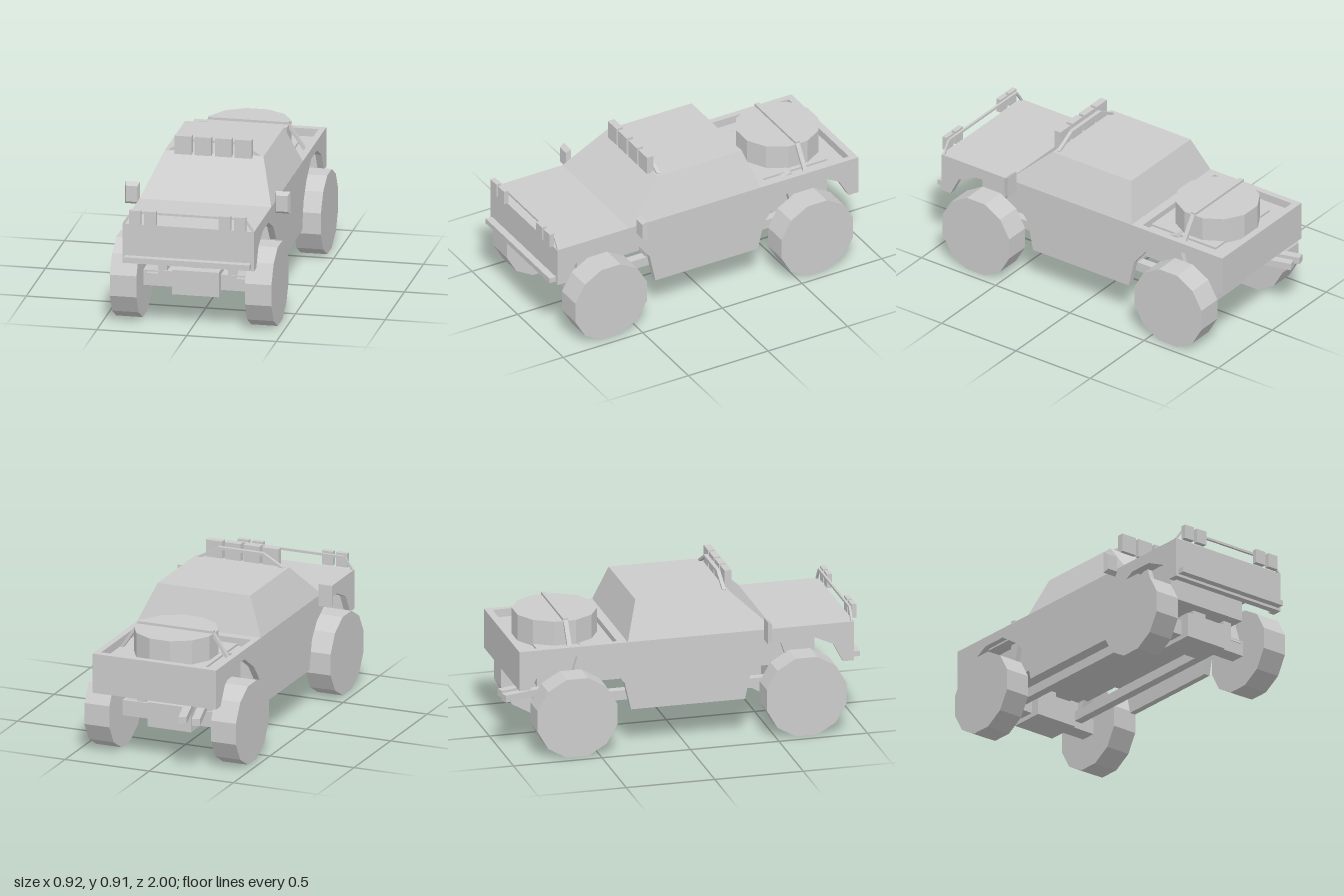
import * as THREE from 'three';

const grey = new THREE.MeshStandardMaterial({ color: 0xcccccc, flatShading: true });

export function createModel() {
  const model = new THREE.Group();

  const add = (name, geometry) => {
    const mesh = new THREE.Mesh(geometry, grey);
    mesh.name = name;
    model.add(mesh);
    return mesh;
  };

  // Box given by its limits on each axis
  const box = (name, x0, x1, y0, y1, z0, z1) => {
    const mesh = add(name, new THREE.BoxGeometry(x1 - x0, y1 - y0, z1 - z0));
    mesh.position.set((x0 + x1) / 2, (y0 + y1) / 2, (z0 + z1) / 2);
    return mesh;
  };

  // Square beam between two points
  const beam = (name, a, b, w, h = w) => {
    const from = new THREE.Vector3(...a), to = new THREE.Vector3(...b);
    const mesh = add(name, new THREE.BoxGeometry(w, h, from.distanceTo(to)));
    mesh.position.copy(from).add(to).multiplyScalar(0.5);
    mesh.lookAt(to);
    return mesh;
  };

  // Box whose corners are placed by a rule
  const warpedBox = (name, rule) => {
    const g = new THREE.BoxGeometry(1, 1, 1);
    const p = g.attributes.position;
    for (let i = 0; i < p.count; i++) p.setXYZ(i, ...rule(p.getX(i), p.getY(i), p.getZ(i)));
    g.computeVertexNormals();
    return add(name, g);
  };

  // Side panels with wheel arches, outline in (z, y)
  const outline = [
    [0.96, 0.605], [0.96, 0.38], [0.9, 0.38], [0.845, 0.485], [0.725, 0.54], [0.58, 0.54],
    [0.45, 0.47], [0.38, 0.38], [0.345, 0.215], [-0.3, 0.215], [-0.335, 0.37], [-0.41, 0.465],
    [-0.54, 0.55], [-0.69, 0.55], [-0.81, 0.485], [-0.87, 0.38], [-0.93, 0.38], [-0.93, 0.605],
  ];
  const panelShape = new THREE.Shape(outline.map(([z, y]) => new THREE.Vector2(z, y)));
  for (const x of [0.367, -0.332]) {
    const panel = add('bodySide', new THREE.ExtrudeGeometry(panelShape, { depth: 0.035, bevelEnabled: false }));
    panel.rotation.y = -Math.PI / 2;
    panel.position.x = x;
  }

  // Body shell between the sides
  box('frontPanel', -0.333, 0.333, 0.38, 0.605, 0.92, 0.96);
  box('hood', -0.333, 0.333, 0.57, 0.605, 0.3, 0.925);
  box('tailgate', -0.333, 0.333, 0.38, 0.605, -0.93, -0.89);
  box('bedFloor', -0.333, 0.333, 0.54, 0.56, -0.9, -0.33);
  box('bedFrontWall', -0.333, 0.333, 0.54, 0.605, -0.37, -0.3);
  box('cabFloor', -0.333, 0.333, 0.355, 0.57, -0.33, 0.38);
  box('innerBody', -0.25, 0.25, 0.355, 0.572, -0.8, 0.77);

  // Cab, tapering to the roof
  warpedBox('cab', (x, y, z) => y > 0
    ? [x * 0.55, 0.815, z > 0 ? 0.28 : -0.25]
    : [x * 0.734, 0.604, z > 0 ? 0.51 : -0.318]);

  // Side windows, thin panes on the sloping cab sides
  const panes = [
    [[0.43, 0.63], [0.05, 0.63], [0.035, 0.795], [0.265, 0.795]],
    [[0.03, 0.63], [-0.285, 0.63], [-0.235, 0.795], [0.015, 0.795]],
  ];
  for (const side of [1, -1]) {
    for (const pane of panes) {
      const verts = pane.flatMap(([z, y]) => [side * (0.369 - (y - 0.604) * 0.436), y, z]);
      const g = new THREE.BufferGeometry();
      g.setAttribute('position', new THREE.Float32BufferAttribute(verts, 3));
      g.setIndex(side > 0 ? [0, 1, 2, 0, 2, 3] : [0, 2, 1, 0, 3, 2]);
      g.computeVertexNormals();
      add('sideWindow', g);
    }
  }

  // Wheels and the spare in the bed, all twelve-sided
  const wheelGeometry = (width) =>
    new THREE.CylinderGeometry(0.233, 0.233, width, 12).rotateY(Math.PI / 12);
  for (const z of [0.67, -0.625]) {
    for (const x of [0.376, -0.376]) {
      const wheel = add('wheel', wheelGeometry(0.148));
      wheel.rotation.z = Math.PI / 2;
      wheel.position.set(x, 0.225, z);
    }
    box('axle', -0.31, 0.31, 0.18, 0.268, z - 0.045, z + 0.045);
    box('differential', -0.13, 0.13, 0.155, 0.295, z - 0.1, z + 0.1);
    box('differentialMount', -0.042, 0.042, 0.29, 0.36, z - 0.04, z + 0.04);
  }
  add('spareWheel', wheelGeometry(0.152)).position.set(0, 0.634, -0.632);

  // Parts mirrored left and right
  for (const s of [1, -1]) {
    const mirrored = (name, x0, x1, ...rest) =>
      box(name, Math.min(s * x0, s * x1), Math.max(s * x0, s * x1), ...rest);
    mirrored('frameRail', 0.17, 0.22, 0.22, 0.275, -0.65, 0.7);
    mirrored('railHanger', 0.17, 0.22, 0.22, 0.36, 0.66, 0.71);
    mirrored('railHanger', 0.17, 0.22, 0.22, 0.36, -0.66, -0.61);
    beam('strut', [s * 0.25, 0.24, 0.69], [s * 0.25, 0.57, 0.575], 0.06);
    beam('strut', [s * 0.25, 0.24, -0.63], [s * 0.25, 0.57, -0.53], 0.06);

    // Lamps on the hood bar and the roof bar
    mirrored('hoodLamp', 0.26, 0.325, 0.61, 0.69, 0.957, 0.985);
    mirrored('hoodLamp', 0.175, 0.24, 0.61, 0.69, 0.957, 0.985);
    mirrored('roofLamp', 0.01, 0.103, 0.808, 0.912, 0.27, 0.31);
    mirrored('roofLamp', 0.12, 0.215, 0.808, 0.912, 0.27, 0.31);

    // Sloping bar ends
    beam('hoodBarEnd', [s * 0.36, 0.605, 0.95], [s * 0.312, 0.673, 0.95], 0.012);
    beam('roofBarEnd', [s * 0.25, 0.812, 0.258], [s * 0.13, 0.88, 0.258], 0.02, 0.014);
    beam('rollBarEnd', [s * 0.32, 0.56, -0.63], [s * 0.215, 0.715, -0.63], 0.025, 0.016);

    // Wing mirror, narrower towards the front
    warpedBox('wingMirror', (x, y, z) => [
      s * 0.419 + x * (z > 0 ? 0.064 : 0.082),
      0.617 + y * (z > 0 ? 0.09 : 0.126),
      z > 0 ? 0.475 : 0.448,
    ]);
  }

  // Straight runs of the bars and the bumper
  box('hoodBar', -0.315, 0.315, 0.665, 0.678, 0.944, 0.957);
  box('roofBar', -0.135, 0.135, 0.871, 0.887, 0.248, 0.27);
  box('rollBar', -0.225, 0.225, 0.708, 0.724, -0.645, -0.617);
  box('bumper', -0.35, 0.35, 0.395, 0.425, 0.955, 1);

  // Twin exhaust pipes
  for (const x of [-0.275, -0.195]) {
    beam('exhaustTip', [x, 0.315, -0.994], [x + 0.07, 0.315, -0.74], 0.045, 0.04);
    beam('exhaustPipe', [x + 0.066, 0.315, -0.75], [x + 0.11, 0.37, -0.66], 0.045, 0.04);
  }

  return model;
}
